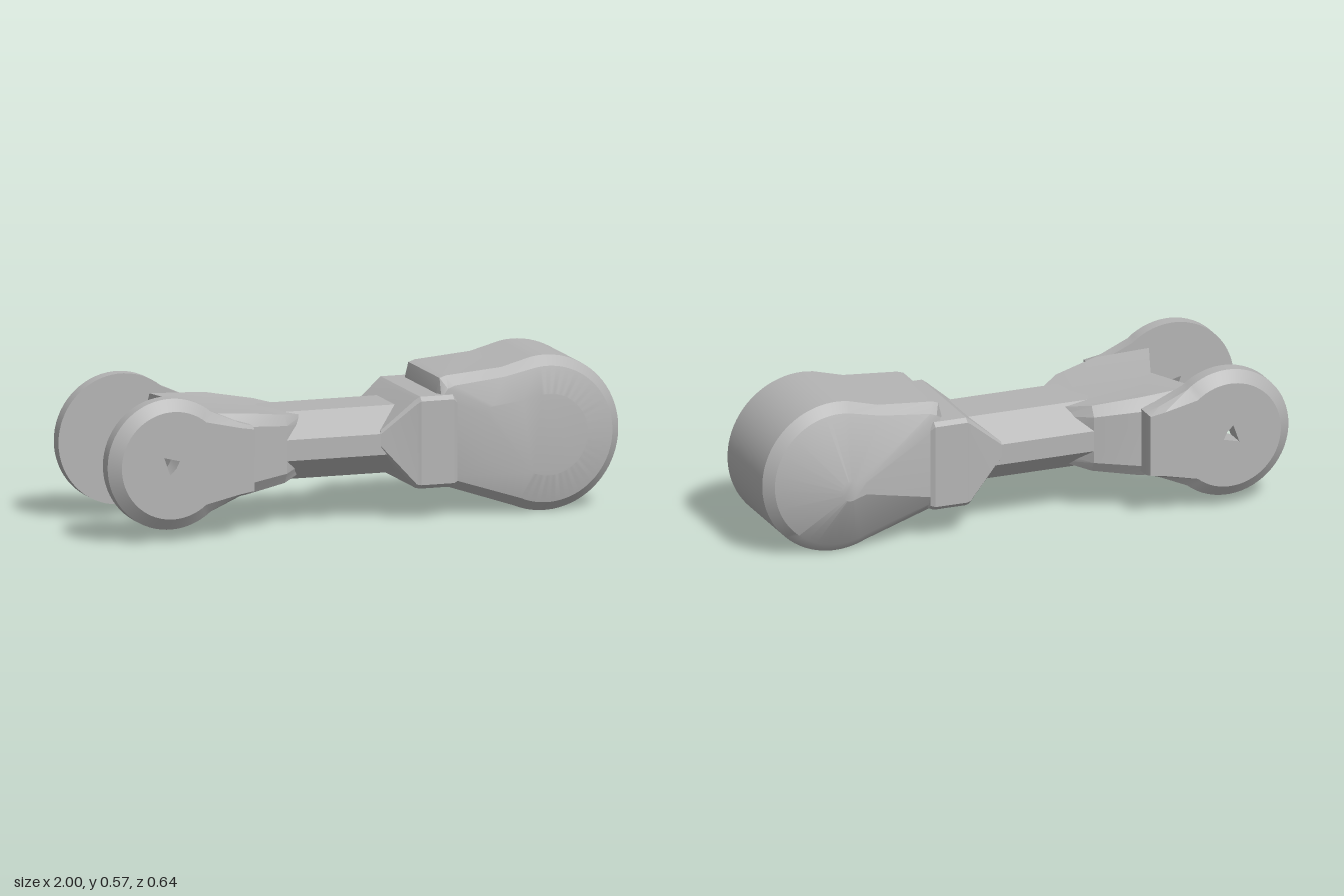
import * as THREE from 'three';
import { toCreasedNormals } from 'three/addons/utils/BufferGeometryUtils.js';

const AXIS_Y = 0.285;

// Skins counter-clockwise rings of [x, y, z] stacked along +z, with flat caps
// and an optional clockwise hole running from the first ring to the last.
function loft(rings, hole = []) {
  const out = [];
  const wall = (lo, hi) => lo.forEach((a, i) => {
    const j = (i + 1) % lo.length;
    out.push(...a, ...lo[j], ...hi[j], ...a, ...hi[j], ...hi[i]);
  });
  for (let k = 0; k + 1 < rings.length; k++) wall(rings[k], rings[k + 1]);
  const flat = (pts) => pts.map(([x, y]) => new THREE.Vector2(x, y));
  const cap = (ring, top) => {
    const rim = hole.map(([x, y]) => [x, y, ring[0][2]]);
    const all = [...ring, ...rim];
    for (const [a, b, c] of THREE.ShapeUtils.triangulateShape(flat(ring), hole.length ? [flat(rim)] : [])) {
      out.push(...all[a], ...all[top ? b : c], ...all[top ? c : b]);
    }
    return rim;
  };
  const last = rings[rings.length - 1];
  const rimLow = cap(rings[0], false);
  const rimHigh = cap(last, true);
  if (hole.length) wall(rimLow, rimHigh);
  const g = new THREE.BufferGeometry();
  g.setAttribute('position', new THREE.Float32BufferAttribute(out, 3));
  return toCreasedNormals(g, 0.4);
}

const arc = (cx, cy, r, from, to, n) => Array.from({ length: n + 1 }, (_, i) => {
  const a = THREE.MathUtils.degToRad(from + (to - from) * i / n);
  return [cx + r * Math.cos(a), cy + r * Math.sin(a)];
});
const at = (outline, z) => outline.map(([x, y]) => [x, y, z]);
const shrink = (outline, cx, cy, s) => outline.map(([x, y]) => [cx + (x - cx) * s, cy + (y - cy) * s]);

// Round end hub drawn out into the arm, with bulging cheeks
function hubGeometry() {
  const outer = [...arc(0.715, AXIS_Y, 0.285, -114, 100, 48),
    [0.55, 0.535], [0.34, 0.518], [0.315, 0.51], [0.3, 0.45], [0.3, 0.125]];
  const inner = [...arc(0.715, AXIS_Y, 0.25, -114, 100, 48),
    [0.55, 0.505], [0.36, 0.485], [0.335, 0.475], [0.31, 0.44], [0.31, 0.155]];
  return loft([
    at(shrink(inner, 0.7, 0.26, 0.15), -0.283),
    at(inner, -0.2), at(outer, -0.165),
    at(outer, 0.165), at(inner, 0.2),
    at(shrink(inner, 0.71, 0.29, 0.6), 0.225),
  ]);
}

// Bevelled rectangular section across the arm, at position x along it
function section(x, halfZ, low, high, bz, by) {
  return [[halfZ, low + by], [halfZ, high - by], [halfZ - bz, high], [bz - halfZ, high],
    [-halfZ, high - by], [-halfZ, low + by], [bz - halfZ, low], [halfZ - bz, low]]
    .map(([u, v]) => [u, v, x]);
}

// Forked yoke: plan outline whose height grows towards the prongs
function yokeGeometry() {
  const plan = [
    // x, half width, low y, high y
    [-0.18, 0.1, 0.19, 0.395], [-0.28, 0.195, 0.165, 0.415],
    [-0.45, 0.25, 0.14, 0.44], [-0.66, 0.24, 0.13, 0.45], [-0.58, 0, 0.14, 0.44],
  ];
  const mirrored = plan.slice(0, 4).reverse().map(([x, w, l, h]) => [x, -w, l, h]);
  const outline = [...plan, ...mirrored];
  const ring = (t, s) => outline.map(([x, w, l, h]) => [x, w * s, l + (h - l) * t]);
  return loft([ring(0, 0.88), ring(0.15, 1), ring(0.85, 1), ring(1, 0.88)]).rotateX(-Math.PI / 2);
}

// Fork disc with a tab towards the yoke and a small diamond bore
function discGeometry() {
  const outline = (r, tab) => [...arc(0, 0, r, 50, 310, 48),
    ...tab.map(([x, y]) => [x, -y]), ...[...tab].reverse()];
  const outer = outline(0.24, [[0.265, 0.135], [0.317, 0.12]]);
  const inner = outline(0.197, [[0.255, 0.122], [0.31, 0.113]]);
  const bore = [[-0.035, 0.03], [0.025, 0.015], [0.012, -0.012], [-0.012, -0.035]];
  return loft([at(outer, 0.235), at(outer, 0.285), at(inner, 0.318)], bore);
}

export function createModel() {
  const grey = new THREE.MeshStandardMaterial({ color: 0xb4b4b4 });
  grey.name = 'plain grey';
  const model = new THREE.Group();
  model.name = 'armLink';
  const add = (name, geometry) => {
    const mesh = new THREE.Mesh(geometry, grey);
    mesh.name = name;
    model.add(mesh);
    return mesh;
  };

  add('endHub', hubGeometry());

  // Collar tapering to a point on either side of the shaft
  add('collar', loft([
    section(0.08, 0.197, 0.27, 0.335, 0.01, 0.01),
    section(0.21, 0.218, 0.12, 0.445, 0.015, 0.015),
    section(0.225, 0.225, 0.118, 0.455, 0.015, 0.015),
    section(0.35, 0.225, 0.118, 0.455, 0.015, 0.015),
    section(0.365, 0.215, 0.122, 0.44, 0.015, 0.015),
  ]).rotateY(Math.PI / 2));

  add('shaft', loft([-0.4, 0.25].map((x) => section(x, 0.195, 0.163, 0.41, 0.1, 0.085)))
    .rotateY(Math.PI / 2));

  add('yoke', yokeGeometry());

  // Pair of fork discs, the second turned over to the back
  const disc = discGeometry();
  for (const [name, turn] of [['frontDisc', 0], ['backDisc', Math.PI]]) {
    const mesh = add(name, disc);
    mesh.position.set(-0.76, AXIS_Y, 0);
    mesh.rotation.x = turn;
  }
  return model;
}
